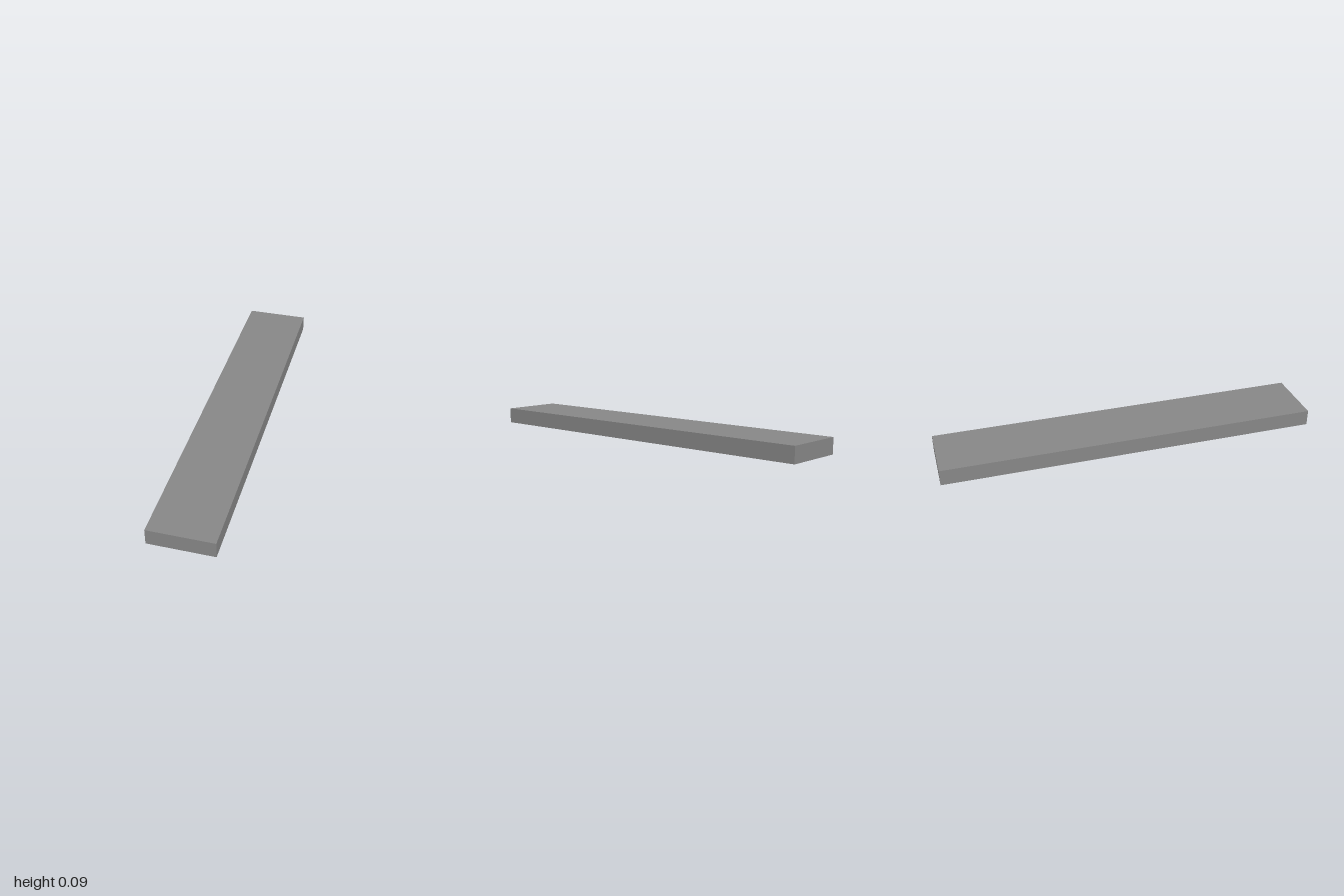
import * as THREE from 'three';

const material = new THREE.MeshStandardMaterial({ color: 0x868686, flatShading: true });

// Box given by its size, bottom height and position along z
function box(name, w, h, d, bottom, z = 0) {
  const mesh = new THREE.Mesh(new THREE.BoxGeometry(w, h, d), material);
  mesh.name = name;
  mesh.position.set(0, bottom + h / 2, z);
  return mesh;
}

function rectangle(PathType, halfW, halfL) {
  return new PathType([
    new THREE.Vector2(-halfW, -halfL), new THREE.Vector2(halfW, -halfL),
    new THREE.Vector2(halfW, halfL), new THREE.Vector2(-halfW, halfL),
  ]);
}

export function createModel() {
  const model = new THREE.Group();
  model.name = 'lightFixture';
  const base = 0.003, top = 0.087, recess = 0.014, panelBottom = 0.009;

  // Housing: one open-bottomed slab, built as a rim below a solid body
  const housing = new THREE.Group();
  housing.name = 'housing';
  housing.add(box('housingBody', 0.334, top - base - recess, 2, base + recess));
  const outline = rectangle(THREE.Shape, 0.167, 1);
  outline.holes.push(rectangle(THREE.Path, 0.119, 0.953));
  const rimGeometry = new THREE.ExtrudeGeometry(outline, { depth: recess, bevelEnabled: false });
  rimGeometry.rotateX(-Math.PI / 2).translate(0, base, 0);
  const rim = new THREE.Mesh(rimGeometry, material);
  rim.name = 'housingRim';
  housing.add(rim);
  model.add(housing);

  // Diffuser panel, set in the recess with a narrow gap around it
  model.add(box('diffuserPanel', 0.216, base + recess - panelBottom, 1.885, panelBottom));

  // Six cross slats under the diffuser
  const slats = new THREE.Group();
  slats.name = 'crossSlats';
  for (let i = 0; i < 6; i++) {
    slats.add(box('crossSlat', 0.224, base + recess, 0.027, 0, (i - 2.5) * 0.272));
  }
  model.add(slats);
  return model;
}
